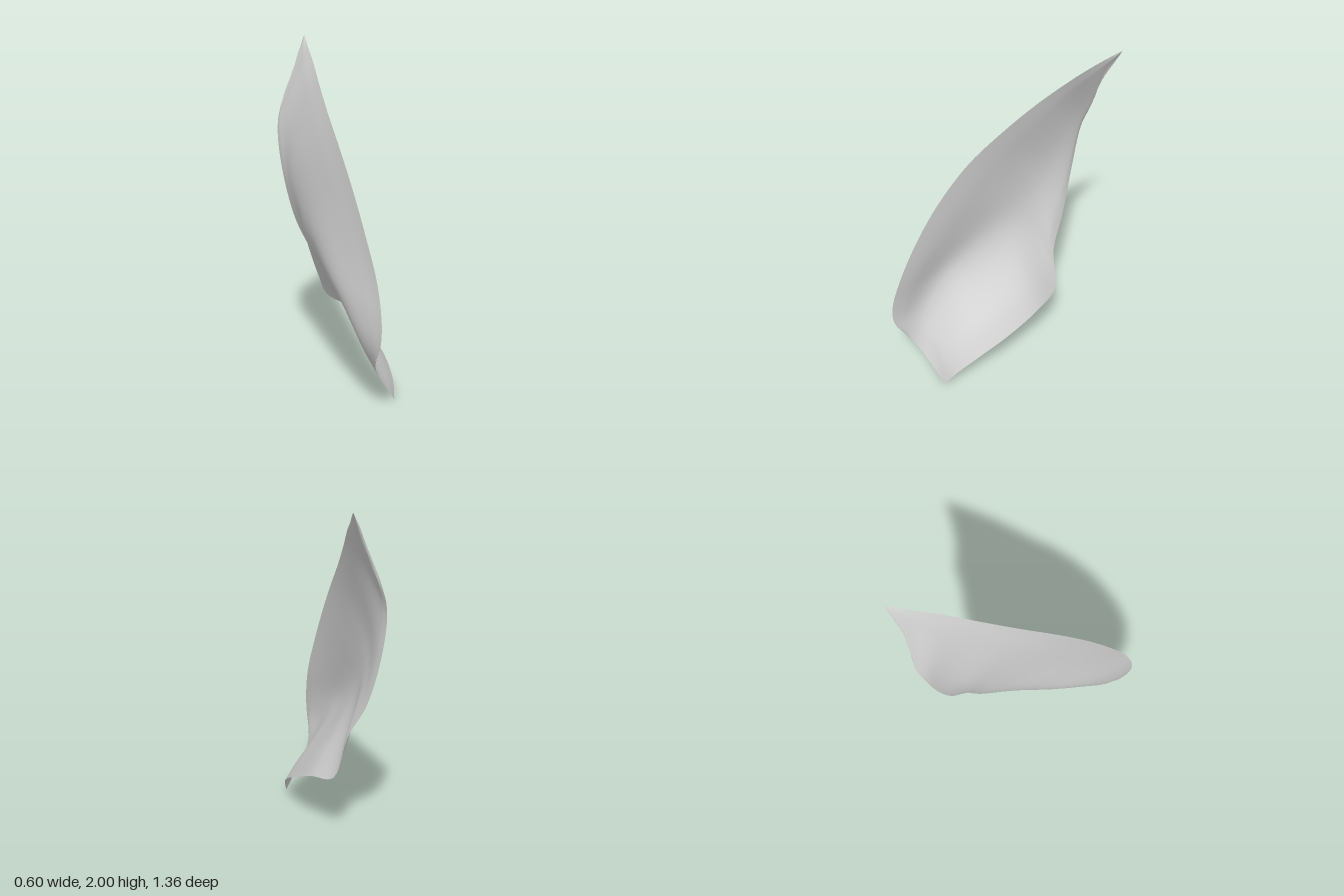
import * as THREE from 'three';

// Sections across the blade, from foot to tip: leading edge, valley, trailing edge
const sections = [
  [[0.14, 0.30, 0.61], [0.17, 0.21, 0.54], [0.29, 0.00, 0.40]],
  [[0.16, 0.42, 0.675], [0.08, 0.40, 0.50], [0.295, 0.08, 0.33]],
  [[0.165, 0.55, 0.68], [0.00, 0.58, 0.37], [0.275, 0.17, 0.20]],
  [[0.15, 0.75, 0.62], [-0.06, 0.70, 0.23], [0.21, 0.27, 0.00]],
  [[0.10, 1.00, 0.50], [-0.12, 0.84, 0.03], [0.11, 0.37, -0.20]],
  [[0.05, 1.22, 0.36], [-0.16, 0.95, -0.11], [-0.02, 0.42, -0.33]],
  [[0.00, 1.42, 0.19], [-0.19, 1.06, -0.21], [-0.10, 0.67, -0.33]],
  [[-0.04, 1.58, 0.00], [-0.22, 1.21, -0.29], [-0.20, 0.88, -0.40]],
  [[-0.07, 1.73, -0.20], [-0.23, 1.39, -0.38], [-0.27, 1.15, -0.455]],
  [[-0.09, 1.86, -0.40], [-0.23, 1.60, -0.47], [-0.30, 1.42, -0.505]],
  [[-0.105, 1.93, -0.53], [-0.20, 1.74, -0.55], [-0.28, 1.56, -0.55]],
  [[-0.11, 1.97, -0.61], [-0.155, 1.88, -0.60], [-0.19, 1.78, -0.585]],
  [[-0.115, 2.00, -0.675], [-0.117, 1.997, -0.673], [-0.12, 1.993, -0.67]],
];

const ROWS = 72, COLS = 24;

// Smooth curves along the blade, then across it
function bladePoints() {
  const rails = [0, 1, 2].map(k =>
    new THREE.CatmullRomCurve3(sections.map(s => new THREE.Vector3(...s[k])), false, 'centripetal'));
  const rows = [];
  for (let i = 0; i <= ROWS; i++) {
    const across = new THREE.CatmullRomCurve3(rails.map(r => r.getPoint(i / ROWS)), false, 'centripetal');
    rows.push(across.getPoints(COLS));
  }
  return rows;
}

// One skin of the shell, pushed along the normals and thinning to nothing at the rim
function skin(rows, offset, flip) {
  const positions = rows.flat().flatMap(p => [p.x, p.y, p.z]);
  const index = [];
  const w = COLS + 1;
  for (let i = 0; i < ROWS; i++) {
    for (let j = 0; j < COLS; j++) {
      const a = i * w + j, b = a + 1, c = a + w, d = c + 1;
      if (flip) index.push(a, c, b, b, c, d);
      else index.push(a, b, c, b, d, c);
    }
  }
  const geo = new THREE.BufferGeometry();
  geo.setAttribute('position', new THREE.Float32BufferAttribute(positions, 3));
  geo.setIndex(index);
  geo.computeVertexNormals();
  const pos = geo.attributes.position, nor = geo.attributes.normal;
  for (let i = 0; i <= ROWS; i++) {
    for (let j = 0; j <= COLS; j++) {
      const k = i * w + j;
      const rim = Math.min(1, Math.min(i, ROWS - i) / 4, Math.min(j, COLS - j) / 3);
      const t = offset * rim;
      pos.setXYZ(k, pos.getX(k) + nor.getX(k) * t, pos.getY(k) + nor.getY(k) * t, pos.getZ(k) + nor.getZ(k) * t);
    }
  }
  geo.computeVertexNormals();
  return geo;
}

export function createModel() {
  const group = new THREE.Group();
  group.name = 'curvedBlade';
  const grey = new THREE.MeshStandardMaterial({ color: 0xcccccc });
  grey.name = 'paleGrey';
  grey.side = THREE.DoubleSide;

  const rows = bladePoints();
  const hollow = new THREE.Mesh(skin(rows, 0.007, false), grey);
  hollow.name = 'hollowSide';
  const back = new THREE.Mesh(skin(rows, 0.007, true), grey);
  back.name = 'roundedSide';
  group.add(hollow, back);
  return group;
}
